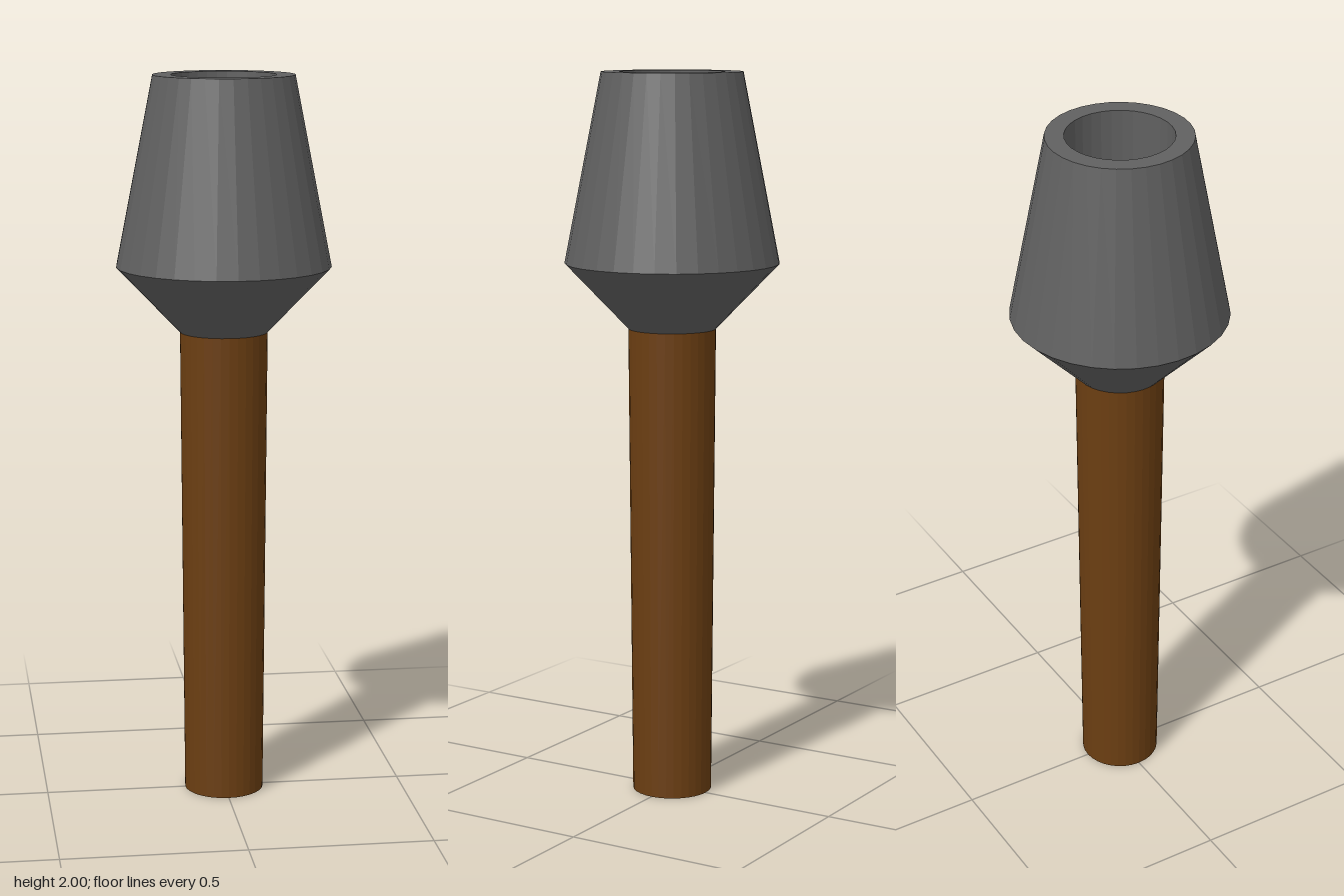
import * as THREE from 'three';

const SIDES = 32;

export function createModel() {
  const model = new THREE.Group();
  const wood = new THREE.MeshStandardMaterial({ color: 0x6b3e12, flatShading: true });
  const iron = new THREE.MeshStandardMaterial({ color: 0x606060, flatShading: true });

  // Slightly tapered wooden shaft
  const handle = new THREE.Mesh(new THREE.CylinderGeometry(0.12, 0.11, 1.31, SIDES), wood);
  handle.name = 'handle';
  handle.position.y = 1.31 / 2;
  model.add(handle);

  // Hollow head: underside, flare, sloped wall, flat rim, straight bore and floor
  const profile = [
    [0, 1.305], [0.12, 1.305], [0.293, 1.485], [0.192, 2],
    [0.142, 2], [0.142, 1.7], [0, 1.7],
  ].map(([r, y]) => new THREE.Vector2(r, y));
  const head = new THREE.Mesh(new THREE.LatheGeometry(profile, SIDES), iron);
  head.name = 'head';
  model.add(head);

  return model;
}
